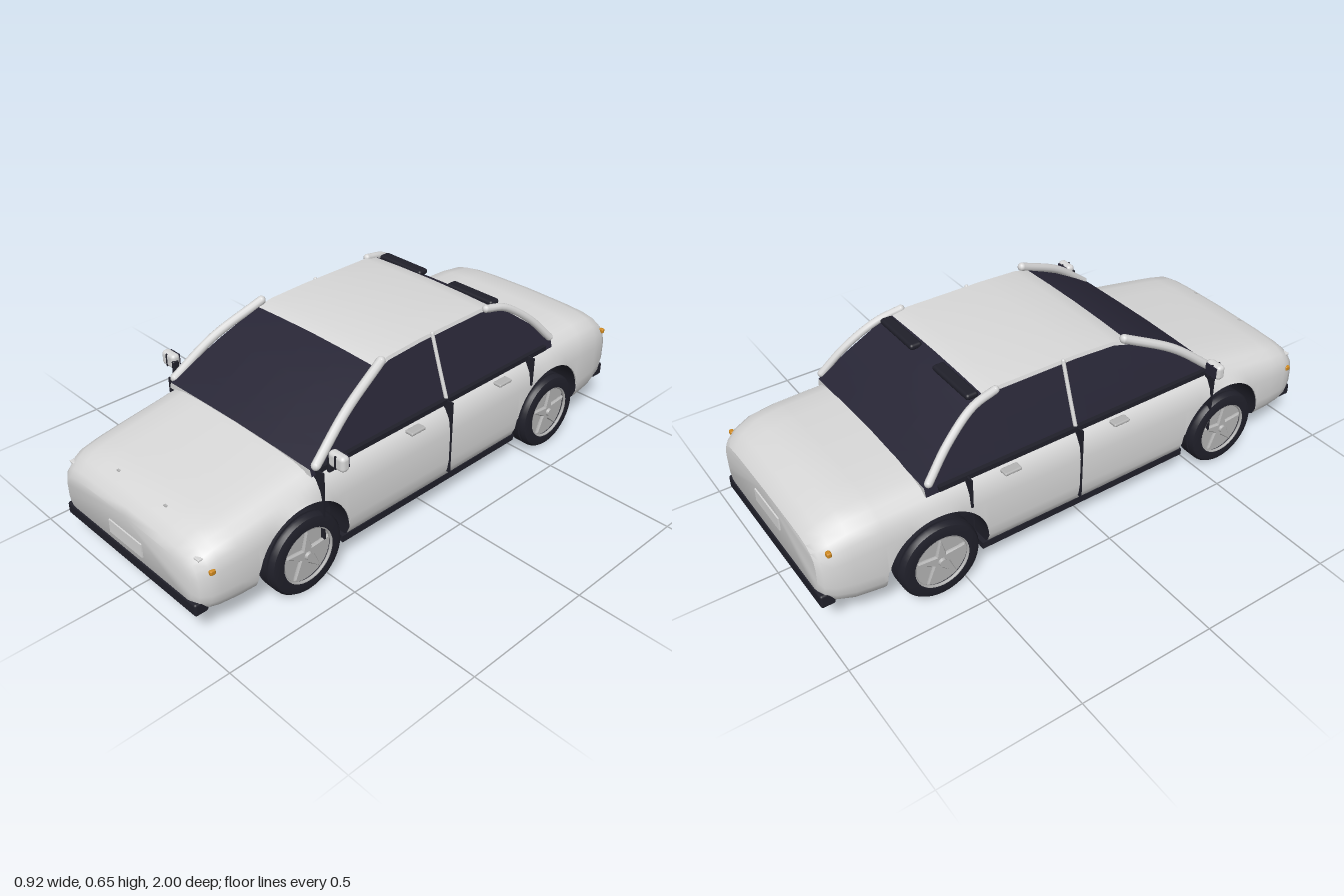
import * as THREE from 'three';
import { toCreasedNormals } from 'three/addons/utils/BufferGeometryUtils.js';
import { RoundedBoxGeometry } from 'three/addons/geometries/RoundedBoxGeometry.js';

const mat = (name, color) => Object.assign(new THREE.MeshStandardMaterial({ color }), { name });

// Surface through closed rings (front to back); pick(i, j) chooses the material of each quad
function loft(rings, pick, caps = true) {
  const n = rings[0].length, lists = [[], []];
  for (let i = 0; i < rings.length - 1; i++) {
    for (let j = 0; j < n; j++) {
      const a = i * n + j, b = i * n + (j + 1) % n;
      lists[pick(i, j)].push(a, b, b + n, a, b + n, a + n);
    }
  }
  if (caps) {
    const last = (rings.length - 1) * n;
    for (let j = 1; j < n - 1; j++) lists[0].push(0, j + 1, j, last, last + j, last + j + 1);
  }
  const geo = new THREE.BufferGeometry();
  geo.setAttribute('position', new THREE.Float32BufferAttribute(rings.flat(2), 3));
  geo.setIndex([...lists[0], ...lists[1]]);
  geo.addGroup(0, lists[0].length, 0);
  geo.addGroup(lists[0].length, lists[1].length, 1);
  return toCreasedNormals(geo, 0.6);
}

// Mirror a half section (top centre to bottom centre) into a full ring
const fullRing = (half, z) => [
  ...half.map(([x, y]) => [x, y, z]),
  ...half.slice(1, -1).reverse().map(([x, y]) => [-x, y, z]),
];

// Linear lookup in rows sorted by descending z
function lookup(rows, z) {
  let k = 0;
  while (k < rows.length - 2 && z < rows[k + 1][0]) k++;
  const a = rows[k], b = rows[k + 1], t = (a[0] - z) / (a[0] - b[0]);
  return a.map((v, i) => v + (b[i] - v) * t);
}

export function createModel() {
  const car = new THREE.Group();
  car.name = 'car';
  const paint = mat('body paint', 0xd8d8d8);
  const trim = mat('dark trim', 0x20202a);
  const glass = mat('dark glass', 0x282636);
  const metal = mat('rim metal', 0xb4b4b4);
  const amber = mat('amber lamp', 0xd08a20);

  const add = (name, geo, material, x = 0, y = 0, z = 0, parent = car) => {
    const m = new THREE.Mesh(geo, material);
    m.name = name;
    m.position.set(x, y, z);
    parent.add(m);
    return m;
  };
  const box = (name, m, w, h, d, x, y, z) => add(name, new THREE.BoxGeometry(w, h, d), m, x, y, z);
  const rbox = (name, m, w, h, d, x, y, z, r) => add(name, new RoundedBoxGeometry(w, h, d, 3, r), m, x, y, z);

  // Body shell: z, half width, top, bottom
  const rows = [
    [0.995, 0.335, 0.29, 0.15], [0.982, 0.355, 0.315, 0.13], [0.95, 0.372, 0.343, 0.113],
    [0.92, 0.379, 0.36, 0.108], [0.85, 0.386, 0.375, 0.104], [0.75, 0.389, 0.393, 0.102],
    [0.55, 0.392, 0.428, 0.1], [0, 0.394, 0.432, 0.1], [-0.6, 0.392, 0.44, 0.1],
    [-0.8, 0.387, 0.437, 0.104], [-0.89, 0.38, 0.428, 0.112], [-0.95, 0.368, 0.4, 0.13],
    [-0.982, 0.353, 0.372, 0.152], [-0.995, 0.335, 0.355, 0.175],
  ];
  const AXLE = 0.6, HUB = 0.145, ARCH = 0.185;
  const zs = rows.map((r) => r[0]);
  for (const c of [AXLE, -AXLE]) {
    zs.push(c + ARCH + 0.0005, c - ARCH - 0.0005);
    for (let i = 0; i <= 24; i++) zs.push(c + ARCH * Math.cos(Math.PI * i / 24));
  }
  zs.sort((a, b) => b - a);
  const archY = (z) => {
    const d = Math.abs(Math.abs(z) - AXLE);
    return d > ARCH + 0.0002 ? 0 : HUB + Math.sqrt(Math.max(0, ARCH * ARCH - d * d));
  };
  const bodyRings = zs.map((z) => {
    const [, w, t, b] = lookup(rows, z);
    const s = Math.min(1, (t - b) / 0.32);
    const half = [
      [0, t], [0.5, t - 0.004 * s], [0.72, t - 0.01 * s], [0.85, t - 0.022 * s], [0.93, t - 0.045 * s],
      [0.98, t - 0.08 * s], [1, t - 0.13 * s], [1, b + 0.09 * s], [0.985, b + 0.05 * s],
      [0.95, b + 0.018 * s], [0.88, b], [0, b],
    ];
    return fullRing(half.map(([x, y]) => [x * w, Math.max(y, archY(z))]), z);
  });
  add('body', loft(bodyRings, (i, j) => {
    const z = Math.abs((zs[i] + zs[i + 1]) / 2);
    const under = j === 10 || j === 11;
    const inArch = Math.abs(z - AXLE) < ARCH + 0.0005 && j >= 8 && j <= 13;
    return (z < 0.786 && under) || inArch ? 1 : 0;
  }), [paint, trim]);

  // Cabin: glass all round with a painted roof
  const cabin = [
    [0.55, 0.425], [0.48, 0.472], [0.36, 0.545], [0.21, 0.62], [0.15, 0.635], [0, 0.642], [-0.3, 0.643],
    [-0.36, 0.63], [-0.42, 0.6], [-0.52, 0.525], [-0.625, 0.432],
  ];
  const sideX = (y) => 0.362 - 0.077 * (y - 0.41) / 0.23;
  const cabinRings = cabin.map(([z, y]) => fullRing([
    [0, y + 0.005], [0.15, y + 0.003], [sideX(y), y - 0.002], [sideX(y - 0.014), y - 0.014],
    [0.364, 0.4], [0, 0.4],
  ], z));
  add('cabin', loft(cabinRings, (i, j) => (i >= 3 && i <= 6 && (j < 3 || j > 6) ? 0 : 1)), [paint, glass]);

  // Floor pan with raised ends between the wheels
  const pan = new THREE.Shape([
    [0.42, 0.085], [0.42, 0.19], [0.53, 0.19], [0.53, 0.4], [-0.53, 0.4], [-0.53, 0.19], [-0.42, 0.19], [-0.42, 0.085],
  ].map(([z, y]) => new THREE.Vector2(-z, y)));
  const panGeo = new THREE.ExtrudeGeometry(pan, { depth: 0.6, bevelEnabled: false });
  panGeo.translate(0, 0, -0.3).rotateY(Math.PI / 2);
  add('floorPan', panGeo, trim);
  box('sill', trim, 0.74, 0.025, 0.86, 0, 0.0975, 0);

  // Bumpers, number plates, boot seam
  rbox('frontBumper', trim, 0.7, 0.045, 0.05, 0, 0.133, 0.974, 0.008);
  rbox('rearBumper', trim, 0.7, 0.05, 0.05, 0, 0.155, -0.974, 0.008);
  box('frontPlate', paint, 0.175, 0.05, 0.008, 0, 0.205, 0.996);
  box('rearPlate', paint, 0.175, 0.05, 0.008, 0, 0.28, -0.996);

  // Wheel geometry, axis along x with the outer face at +x
  const half = [[0.1, 0.046], [0.122, 0.047], [0.137, 0.042], [0.144, 0.032], [0.145, 0.022], [0.138, 0.021],
    [0.138, 0.016], [0.145, 0.015]];
  const profile = [
    ...half.map(([r, x]) => [r, -x]), ...half.slice().reverse(), [0.1, -0.046],
  ].map(([r, x]) => new THREE.Vector2(r, x));
  const lay = (g) => g.rotateZ(-Math.PI / 2);
  const tyreGeo = lay(toCreasedNormals(new THREE.LatheGeometry(profile, 40), 0.6));
  const dishGeo = lay(new THREE.CylinderGeometry(0.101, 0.101, 0.06, 36));
  const lipGeo = new THREE.TorusGeometry(0.1, 0.006, 8, 36).rotateY(Math.PI / 2);
  const star = new THREE.Shape(Array.from({ length: 10 }, (_, i) => {
    const a = Math.PI / 2 + i * Math.PI / 5, r = i % 2 ? 0.032 : 0.094;
    return new THREE.Vector2(r * Math.cos(a), r * Math.sin(a));
  }));
  const starGeo = new THREE.ExtrudeGeometry(star, {
    depth: 0.004, bevelThickness: 0.006, bevelSize: 0.005, bevelOffset: -0.005, bevelSegments: 1,
  }).rotateY(Math.PI / 2);
  const hubGeo = lay(new THREE.CylinderGeometry(0.012, 0.016, 0.012, 16));

  const tube = (name, pts, r, m) => {
    const v = pts.map((p) => new THREE.Vector3(...p));
    add(name, new THREE.TubeGeometry(new THREE.CatmullRomCurve3(v), 16, r, 10), m);
    for (const p of [pts[0], pts[pts.length - 1]]) add(name + 'End', new THREE.SphereGeometry(r, 10, 8), m, ...p);
  };

  for (const s of [1, -1]) {
    const side = s > 0 ? 'left' : 'right';
    for (const z of [AXLE, -AXLE]) {
      const wheel = new THREE.Group();
      wheel.name = side + (z > 0 ? 'Front' : 'Rear') + 'Wheel';
      wheel.position.set(s * 0.353, HUB, z);
      if (s < 0) wheel.rotation.y = Math.PI;
      car.add(wheel);
      add('tyre', tyreGeo, trim, 0, 0, 0, wheel);
      add('rimDish', dishGeo, metal, 0, 0, 0, wheel);
      add('rimLip', lipGeo, metal, 0.04, 0, 0, wheel);
      add('rimStar', starGeo, metal, 0.033, 0, 0, wheel);
      add('hubCap', hubGeo, metal, 0.046, 0, 0, wheel);
    }

    // Pillars
    tube(side + 'FrontPillar', [[s * 0.362, 0.432, 0.53], [s * 0.333, 0.545, 0.38], [s * 0.295, 0.635, 0.19]], 0.016, paint);
    tube(side + 'RearPillar', [[s * 0.292, 0.637, -0.32], [s * 0.302, 0.615, -0.41], [s * 0.33, 0.54, -0.52],
      [s * 0.358, 0.445, -0.61]], 0.014, paint);
    tube(side + 'MiddlePillar', [[s * 0.362, 0.42, -0.055], [s * 0.325, 0.525, -0.055], [s * 0.287, 0.638, -0.055]], 0.007, paint);

    // Belt line, door gaps and handles
    box(side + 'BeltLine', trim, 0.03, 0.018, 1.1, s * 0.357, 0.415, -0.03);
    for (const [z, y0, y1] of [[0.53, 0.17, 0.42], [-0.05, 0.14, 0.42], [-0.48, 0.31, 0.42]]) {
      box(side + 'DoorGap', trim, 0.04, y1 - y0, 0.007, s * 0.377, (y0 + y1) / 2, z);
    }
    for (const z of [0.115, -0.325]) {
      rbox(side + 'DoorHandle', metal, 0.035, 0.012, 0.065, s * 0.383, 0.383, z, 0.005);
    }

    // Door mirror
    rbox(side + 'MirrorStem', trim, 0.014, 0.06, 0.025, s * 0.396, 0.445, 0.5, 0.006);
    rbox(side + 'MirrorArm', trim, 0.04, 0.012, 0.014, s * 0.41, 0.465, 0.5, 0.005);
    rbox(side + 'MirrorShell', paint, 0.07, 0.055, 0.034, s * 0.427, 0.467, 0.495, 0.014);
    box(side + 'MirrorBand', trim, 0.007, 0.046, 0.036, s * 0.429, 0.467, 0.495);
    box(side + 'MirrorGlass', glass, 0.05, 0.04, 0.006, s * 0.427, 0.467, 0.477);

    // Lamps, washer jets and rear window shades
    rbox(side + 'FrontIndicator', amber, 0.026, 0.018, 0.02, s * 0.365, 0.265, 0.942, 0.005);
    rbox(side + 'RearIndicator', amber, 0.02, 0.018, 0.016, s * 0.356, 0.342, -0.956, 0.005);
    rbox(side + 'FrontMarker', paint, 0.024, 0.008, 0.016, s * 0.335, 0.305, 0.962, 0.003);
    box(side + 'WasherJet', metal, 0.014, 0.004, 0.008, s * 0.125, 0.357, 0.92);
    rbox(side + 'WindowShade', trim, 0.21, 0.022, 0.045, s * 0.17, 0.628, -0.39, 0.01);
  }
  return car;
}
